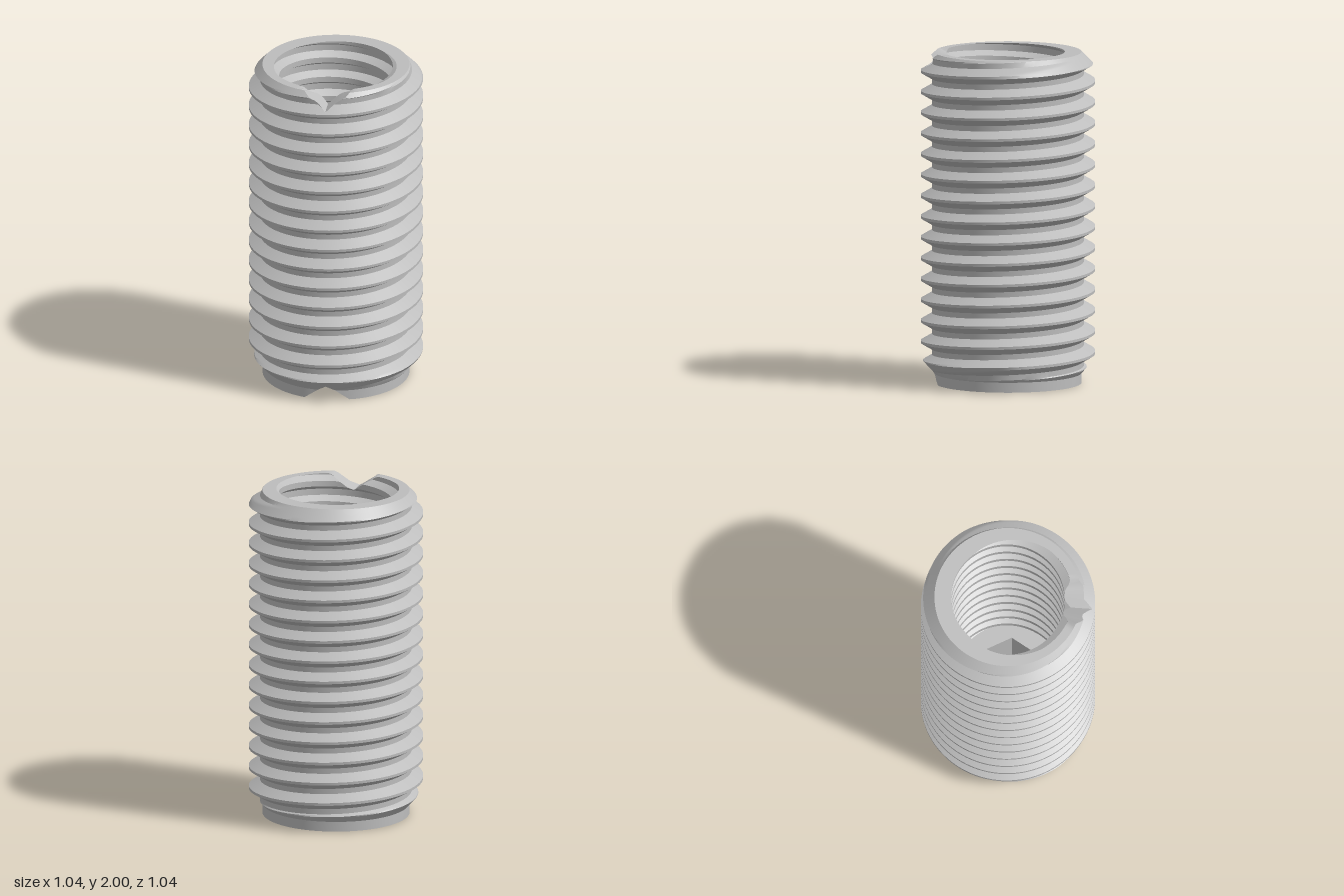
import * as THREE from 'three';
import { toCreasedNormals } from 'three/addons/utils/BufferGeometryUtils.js';

const { clamp, lerp, euclideanModulo } = THREE.MathUtils;
const TAU = Math.PI * 2;
const SEGMENTS = 120;
const HEIGHT = 2;
const PITCH = 0.1257;
const FLOOR = 0.5; // top of the hexagonal socket
const COLLAR = 0.06; // plain ring at the foot

// Depth of the V notch that crosses both end faces at 45 degrees
function notch(angle, r) {
  const a = angle - Math.PI / 4;
  return Math.cos(a) < 0 ? 0 : Math.max(0, 0.1 - (Math.abs(r * Math.sin(a)) * 0.1) / 0.14);
}
const topAt = (angle, r) => HEIGHT - notch(angle, r);
const bottomAt = (angle, r) => notch(angle, r);

// Right-handed thread: flat half-width a, flank ends at b, centre at y0 for angle 0
function makeThread(peak, base, a, b, y0) {
  const steps = 6;
  const offsets = [];
  for (let i = 0; i <= steps; i++) offsets.push(lerp(-b, -a, i / steps));
  for (let i = 0; i <= steps; i++) offsets.push(lerp(a, b, i / steps));
  const centre = (angle) => y0 + (PITCH * angle) / TAU;
  return {
    radius(angle, y) {
      const u = Math.abs(euclideanModulo(y - centre(angle) + PITCH / 2, PITCH) - PITCH / 2);
      return lerp(peak, base, clamp((u - a) / (b - a), 0, 1));
    },
    heights(angle, low, high) {
      const list = [low];
      for (let k = -3; k < 19; k++) {
        for (const o of offsets) list.push(clamp(centre(angle) + k * PITCH + o, low, high));
      }
      list.push(high);
      return list;
    },
  };
}
const outer = makeThread(0.522, 0.455, 0.008, 0.047, 0.233);
const inner = makeThread(0.388, 0.34, 0.019, 0.046, HEIGHT - PITCH / 8 - 15 * PITCH);

// Outer radius, cut by the collar and the chamfers at both ends
function outerRadius(angle, y) {
  return Math.min(outer.radius(angle, y), 0.44 + Math.max(0, y - COLLAR) * 0.9, 0.44 + (HEIGHT - y));
}

// Polar radius of a hexagon with corners at 15 degrees + n * 60
function hexRadius(angle, corner) {
  const a = euclideanModulo(angle - Math.PI / 12, Math.PI / 3) - Math.PI / 6;
  return (corner * Math.cos(Math.PI / 6)) / Math.cos(a);
}

// Sweeps an angle-dependent [radius, y] profile around the axis
function sweep(profile) {
  const columns = [];
  for (let i = 0; i <= SEGMENTS; i++) {
    const angle = (TAU * (i % SEGMENTS)) / SEGMENTS;
    const real = (TAU * i) / SEGMENTS;
    columns.push(profile(real).map(([r, y]) => new THREE.Vector3(r * Math.sin(angle), y, r * Math.cos(angle))));
  }
  const positions = [];
  const tri = new THREE.Triangle();
  const face = (a, b, c) => {
    if (tri.set(a, b, c).getArea() > 1e-9) {
      for (const p of [a, b, c]) positions.push(p.x, p.y, p.z);
    }
  };
  for (let i = 0; i < SEGMENTS; i++) {
    const A = columns[i];
    const B = columns[i + 1];
    for (let j = 0; j < A.length - 1; j++) {
      face(A[j], B[j], B[j + 1]);
      face(A[j], B[j + 1], A[j + 1]);
    }
  }
  const geometry = new THREE.BufferGeometry();
  geometry.setAttribute('position', new THREE.Float32BufferAttribute(positions, 3));
  return toCreasedNormals(geometry, 0.4);
}

// End points shared by neighbouring parts
function outerTop(t) {
  const y = topAt(t, 0.45);
  return [outerRadius(t, y), y];
}
function outerBottom(t) {
  const y = bottomAt(t, 0.45);
  return [outerRadius(t, y), y];
}
function innerTop(t) {
  const y = topAt(t, 0.36);
  return [inner.radius(t, y), y];
}
function socketMouth(t) {
  const r = hexRadius(t, 0.338);
  return [r, bottomAt(t, r)];
}

export function createModel() {
  const group = new THREE.Group();
  const steel = new THREE.MeshStandardMaterial({ color: 0xbdbdbd });
  steel.name = 'steel grey';

  const parts = {
    // Collar, then the outer thread with its chamfered ends
    outerThread: (t) => {
      const foot = outerBottom(t);
      const low = Math.max(COLLAR, foot[1]);
      const rows = outer.heights(t, low, outerTop(t)[1]);
      return [foot, ...rows.map((y) => [outerRadius(t, y), y])];
    },
    // Notched upper end face
    topRim: (t) => [outerTop(t), innerTop(t)],
    // Threaded bore, running downwards
    innerThread: (t) =>
      inner.heights(t, FLOOR, innerTop(t)[1]).reverse().map((y) => [inner.radius(t, y), y]),
    // Ledge around the socket, hexagonal wall and its flared mouth
    hexSocket: (t) => {
      const r = hexRadius(t, 0.288);
      return [
        [inner.radius(t, FLOOR), FLOOR],
        [r, FLOOR],
        [r, Math.max(0.035, bottomAt(t, r))],
        socketMouth(t),
      ];
    },
    // Notched lower end face
    bottomRim: (t) => [socketMouth(t), outerBottom(t)],
  };

  for (const [name, profile] of Object.entries(parts)) {
    const mesh = new THREE.Mesh(sweep(profile), steel);
    mesh.name = name;
    group.add(mesh);
  }
  return group;
}
